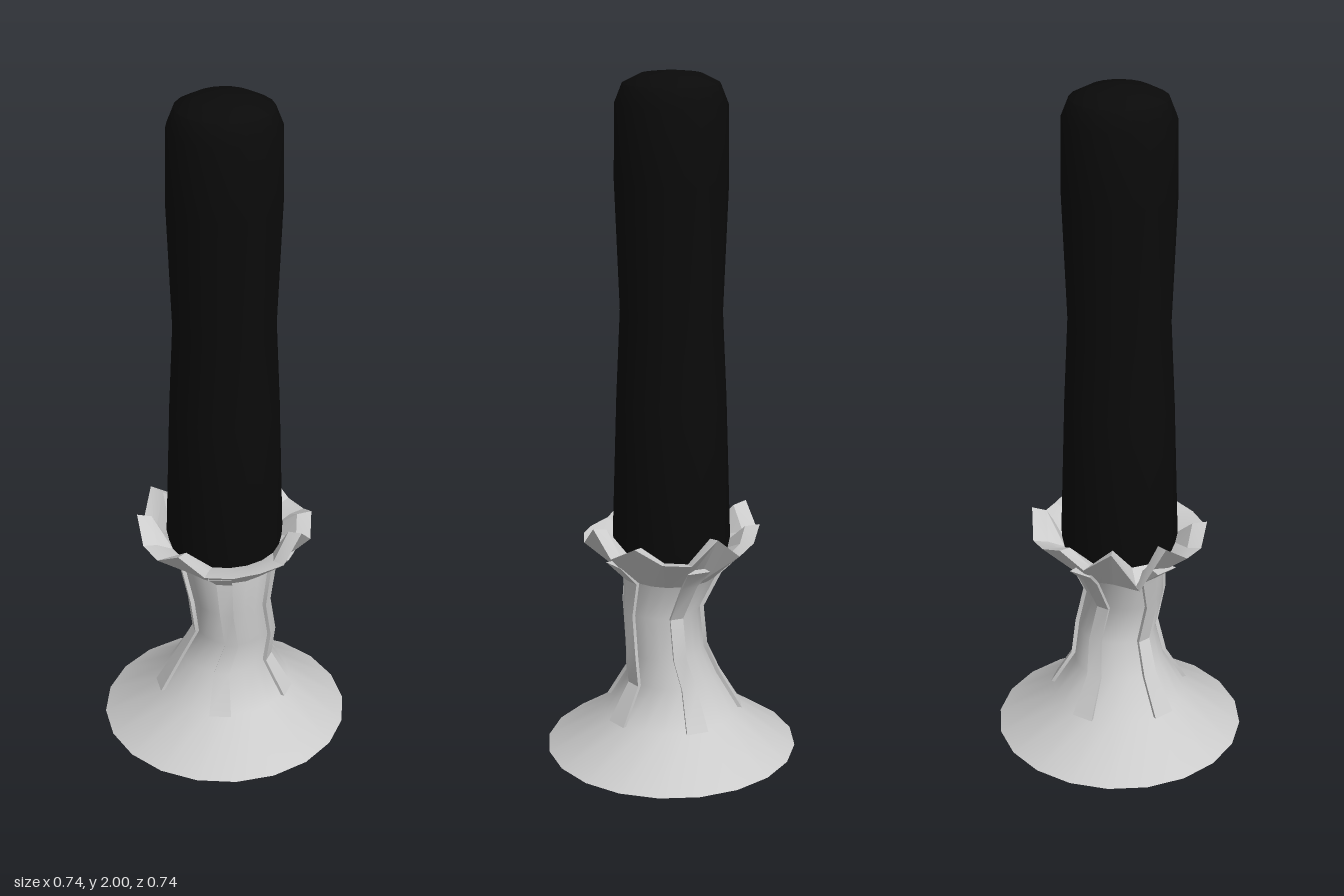
import * as THREE from 'three';
import { toCreasedNormals } from 'three/addons/utils/BufferGeometryUtils.js';

const SIDES = 20;
const STEP = (Math.PI * 2) / SIDES;

// Point on a ring: angle index k runs from the front (+z) towards +x.
const polar = (k, r, y, cx = 0, cz = 0) =>
  [cx + r * Math.sin(k * STEP), y, cz + r * Math.cos(k * STEP)];

// Skin a stack of closed rings with equal point counts; optionally cap both ends.
function loft(rings, crease, capped = false) {
  const n = rings[0].length;
  const index = [];
  for (let i = 0; i < rings.length - 1; i++) {
    for (let j = 0; j < n; j++) {
      const a = i * n + j, b = i * n + (j + 1) % n;
      index.push(a, b, b + n, a, b + n, a + n);
    }
  }
  if (capped) {
    const t = (rings.length - 1) * n;
    for (let j = 1; j < n - 1; j++) {
      index.push(0, j + 1, j, t, t + j, t + j + 1);
    }
  }
  const geo = new THREE.BufferGeometry();
  geo.setAttribute('position', new THREE.Float32BufferAttribute(rings.flat(2), 3));
  geo.setIndex(index);
  return toCreasedNormals(geo, crease);
}

// Slightly crooked stem: radius, height, centre x, centre z
const STEM = [
  [0.372, 0, 0, 0],
  [0.2, 0.115, 0, 0],
  [0.135, 0.225, 0, 0],
  [0.116, 0.32, 0.03, 0],
  [0.114, 0.44, 0.02, 0.022],
  [0.137, 0.55, 0.008, -0.005],
];

// Height of each point of the jagged rim
const RIM = [
  0.65, 0.65, 0.655, 0.655, 0.723, 0.655, 0.7, 0.66, 0.655, 0.723,
  0.655, 0.67, 0.7, 0.66, 0.72, 0.6, 0.718, 0.66, 0.655, 0.7,
];

export function createModel() {
  const model = new THREE.Group();
  const grey = new THREE.MeshStandardMaterial({ color: 0xcccccc, side: THREE.DoubleSide });
  const black = new THREE.MeshStandardMaterial({ color: 0x0a0a0a });
  const add = (name, geo, mat, parent = model) => {
    const mesh = new THREE.Mesh(geo, mat);
    mesh.name = name;
    parent.add(mesh);
  };
  const ring = (fn) => Array.from({ length: SIDES }, (_, k) => fn(k));

  // Open flared foot and stem
  const stemRings = STEM.map(([r, y, cx, cz]) => ring((k) => polar(k, r, y, cx, cz)));
  add('stem', loft(stemRings, 0.75), grey);

  // Flared cup with a thick jagged rim
  const cupRings = [
    stemRings[stemRings.length - 1],
    ring((k) => polar(k, 0.258, RIM[k])),
    ring((k) => polar(k, 0.215, RIM[k] - 0.008)),
    ring((k) => polar(k, 0.165, 0.625)),
  ];
  add('cup', loft(cupRings, 0.35), grey);

  // Five raised ribs, each one side wide, running from the foot to the cup
  const ribs = new THREE.Group();
  ribs.name = 'ribs';
  model.add(ribs);
  const path = [...STEM.slice(1), [0.205, 0.615, 0, 0]];
  for (let i = 0; i < 5; i++) {
    const k = i * 4;
    const sections = path.map(([r, y, cx, cz]) => [
      polar(k, r + 0.012, y, cx, cz),
      polar(k + 1, r + 0.012, y, cx, cz),
      polar(k + 1, r - 0.02, y, cx, cz),
      polar(k, r - 0.02, y, cx, cz),
    ]);
    add('rib', loft(sections, 0.5, true), grey, ribs);
  }

  // Waisted shaft with a rounded top
  const shaft = [
    [0, 0.6], [0.16, 0.6], [0.172, 0.66], [0.158, 1.08], [0.146, 1.33],
    [0.16, 1.7], [0.157, 1.91], [0.135, 1.965], [0.085, 1.99], [0, 2],
  ].map(([r, y]) => new THREE.Vector2(r, y));
  add('shaft', toCreasedNormals(new THREE.LatheGeometry(shaft, SIDES), 0.75), black);

  return model;
}
